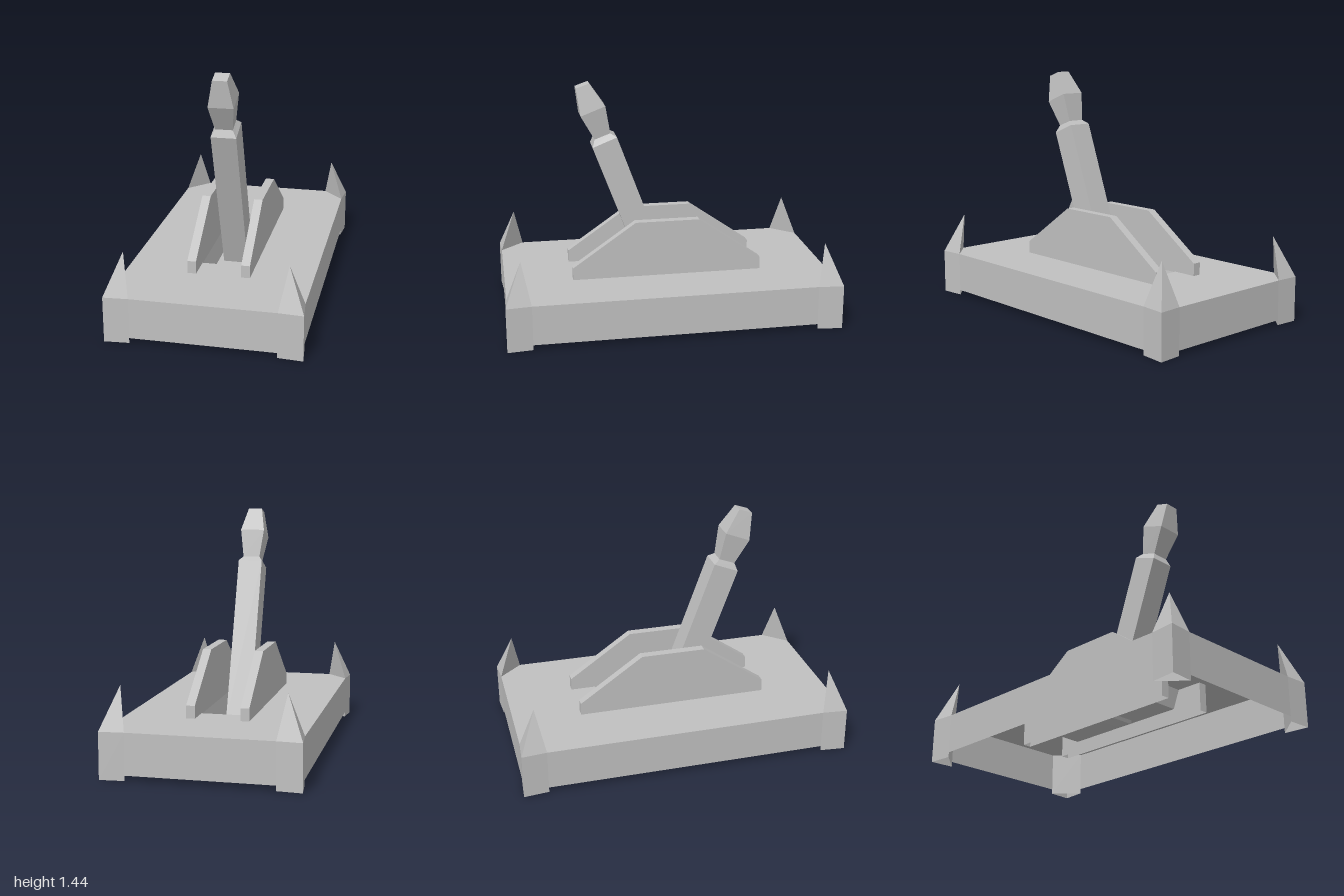
import * as THREE from 'three';

const grey = new THREE.MeshStandardMaterial({ color: 0xc0c0c0, side: THREE.DoubleSide });
grey.name = 'plain grey';

// Flat-sided skin through rings of [x, y, z], listed from bottom to top
function loft(rings, capBottom, capTop) {
  const p = [];
  const tri = (a, b, c) => p.push(...a, ...b, ...c);
  const n = rings[0].length;
  for (let i = 0; i < rings.length - 1; i++) {
    for (let j = 0; j < n; j++) {
      const k = (j + 1) % n, lo = rings[i], hi = rings[i + 1];
      tri(lo[j], lo[k], hi[k]);
      if (hi[j] !== hi[k]) tri(lo[j], hi[k], hi[j]);
    }
  }
  const first = rings[0], last = rings[rings.length - 1];
  for (let j = 1; j < n - 1; j++) {
    if (capBottom) tri(first[0], first[j + 1], first[j]);
    if (capTop) tri(last[0], last[j], last[j + 1]);
  }
  const g = new THREE.BufferGeometry();
  g.setAttribute('position', new THREE.Float32BufferAttribute(p, 3));
  g.computeVertexNormals();
  return g;
}

// Rectangle ring at one height
const rect = (x0, x1, y, z0, z1) => [[x1, y, z1], [x1, y, z0], [x0, y, z0], [x0, y, z1]];

export function createModel() {
  const model = new THREE.Group();
  model.name = 'leverSwitch';
  const add = (name, geometry) => {
    const m = new THREE.Mesh(geometry, grey);
    m.name = name;
    model.add(m);
    return m;
  };

  const X = 0.55, Z = 0.99, BX = 0.42, CZ = 0.85, DECK = 0.27, WALL = 0.03;

  // Deck with cut corners and an opening for the recess
  const outline = [[X, CZ], [BX, Z], [-BX, Z], [-X, CZ], [-X, -CZ], [-BX, -Z], [BX, -Z], [X, -CZ]];
  const deck = new THREE.Shape(outline.map(([x, z]) => new THREE.Vector2(x, -z)));
  deck.holes.push(new THREE.Path(
    [[-0.135, -0.42], [-0.135, 0.43], [0.135, 0.43], [0.135, -0.42]].map(([x, y]) => new THREE.Vector2(x, y))));
  add('deck', new THREE.ShapeGeometry(deck).rotateX(-Math.PI / 2).translate(0, DECK, 0));

  // Side walls, open underneath
  const h = DECK - WALL;
  for (let i = 0; i < 4; i++) {
    const end = i % 2 === 0;
    const g = new THREE.PlaneGeometry(end ? BX * 2 : CZ * 2, h);
    g.translate(0, WALL + h / 2, end ? Z : X).rotateY(i * Math.PI / 2);
    add(end ? 'endWall' : 'sideWall', g);
  }

  // Three-sided corner posts rising to spikes
  for (const sx of [1, -1]) {
    for (const sz of [1, -1]) {
      const plan = [[0.565, 1], [X, CZ], [BX, Z]];
      if (sx * sz < 0) plan.reverse();
      const ring = (y) => plan.map(([x, z]) => [x * sx, y, z * sz]);
      const tip = [0.467 * sx, 0.515, 0.902 * sz];
      add('cornerSpike', loft([ring(0), ring(DECK), [tip, tip, tip]]));
    }
  }

  // Guard plates passing through the deck
  for (const s of [1, -1]) {
    const ring = (y, z) => rect(s * 0.16 - 0.026, s * 0.16 + 0.026, y, -z, z);
    add('guardPlate', loft([ring(0.1, 0.58), ring(0.345, 0.58), ring(0.613, 0.195)], false, true));
  }

  // Recessed tray
  add('recess', loft([rect(-0.11, 0.11, 0.15, -0.41, 0.4), rect(-0.135, 0.135, DECK, -0.43, 0.42)], true, false));

  // Leaning lever: half width, front y and z, back y and z
  const ring = ([w, fy, fz, by, bz]) => [[w, fy, fz], [w, by, bz], [-w, by, bz], [-w, fy, fz]];
  const shaft = [
    [0.075, 0.13, 0.088, 0.153, -0.066],
    [0.075, 1.06, 0.435, 1.118, 0.288],
    [0.052, 1.105, 0.42, 1.14, 0.325],
  ];
  const knob = [
    [0.052, 1.105, 0.42, 1.14, 0.325],
    [0.075, 1.253, 0.503, 1.31, 0.355],
    [0.043, 1.415, 0.525, 1.443, 0.445],
  ];
  add('leverShaft', loft(shaft.map(ring), true, false));
  add('leverKnob', loft(knob.map(ring), false, true));

  return model;
}
